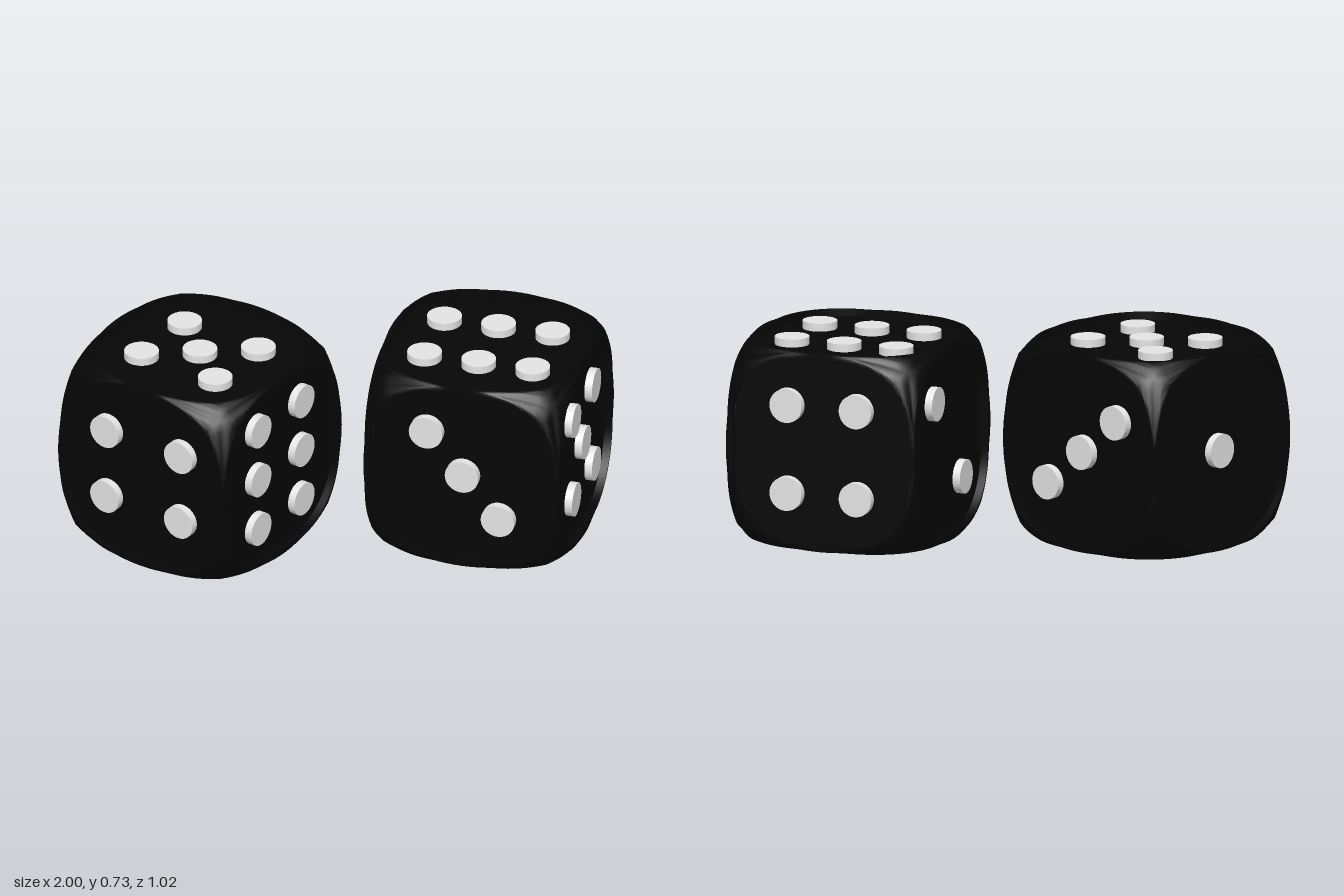
import * as THREE from 'three';
import { mergeGeometries, toCreasedNormals } from 'three/addons/utils/BufferGeometryUtils.js';

const HALF = 0.3625;    // half the die's width
const FLOOR = 0.334;    // distance of the sunken face panels from the centre
const CORNER = 0.3165;  // each coordinate of the pulled-in corners
const RIM = 0.345;      // half width of the rounded-square rim on each face
const RIM_RADIUS = 0.237;

const black = new THREE.MeshStandardMaterial({ color: 0x060606, side: THREE.DoubleSide });
black.name = 'black';
const white = new THREE.MeshStandardMaterial({ color: 0xe4e4e4, side: THREE.DoubleSide });
white.name = 'white';

// Turns a face that looks along +z to each of the six sides
const SIDES = {
  front: [0, 0],
  left: [0, Math.PI / 2],
  back: [0, Math.PI],
  right: [0, -Math.PI / 2],
  top: [-Math.PI / 2, 0],
  bottom: [Math.PI / 2, 0],
};

// Distance from the face centre to its rounded-square rim
function rimDistance(c, s) {
  const big = Math.max(Math.abs(c), Math.abs(s));
  const small = Math.min(Math.abs(c), Math.abs(s));
  const k = RIM - RIM_RADIUS;
  if (RIM * small < k * big) return RIM / big;
  return k * (big + small) + Math.sqrt(RIM_RADIUS ** 2 - (k * (big - small)) ** 2);
}

// One side of the die: sunken panel, its wall, the rim, and the curve out to the bowed edges
function sideGeometry() {
  const N = 96, STEPS = 8;
  const rings = [];
  for (let i = 0; i <= N; i++) {
    const angle = (i % N) / N * Math.PI * 2;
    const c = Math.cos(angle), s = Math.sin(angle);
    const rim = rimDistance(c, s), inner = rim - 0.006;
    const at = (r, z) => new THREE.Vector3(r * c, r * s, z);
    const line = [at(0, FLOOR), at(inner, FLOOR), at(inner, HALF), at(rim, HALF)];

    // Edge point: the edge bows inwards towards the corners
    const alongX = Math.abs(s) > Math.abs(c);
    const v = CORNER * (alongX ? c / Math.abs(s) : s / Math.abs(c));
    const drop = (HALF - CORNER) * (v / CORNER) ** 2;
    const e = HALF - drop;
    const ex = alongX ? v : Math.sign(c) * e;
    const ey = alongX ? Math.sign(s) * e : v;
    for (let k = 1; k <= STEPS; k++) {
      const t = k / STEPS;
      line.push(new THREE.Vector3(
        THREE.MathUtils.lerp(rim * c, ex, t),
        THREE.MathUtils.lerp(rim * s, ey, t),
        HALF - drop * (0.2 * t + 0.8 * t * t),
      ));
    }
    rings.push(line);
  }
  const points = [];
  const triangle = (...corners) => corners.forEach(p => points.push(p.x, p.y, p.z));
  for (let i = 0; i < N; i++) {
    const p = rings[i], q = rings[i + 1];
    triangle(p[0], p[1], q[1]);
    for (let k = 1; k < p.length - 1; k++) {
      triangle(p[k], p[k + 1], q[k + 1]);
      triangle(p[k], q[k + 1], q[k]);
    }
  }
  const geo = new THREE.BufferGeometry();
  geo.setAttribute('position', new THREE.Float32BufferAttribute(points, 3));
  return geo;
}

function bodyGeometry() {
  const side = sideGeometry();
  const parts = Object.values(SIDES).map(([rx, ry]) => side.clone().rotateX(rx).rotateY(ry));
  return toCreasedNormals(mergeGeometries(parts), 0.6);
}

// Pip positions on a face for the numbers one to six
function pipLayout(n) {
  const P = 0.161, Q = 0.133;
  const rising = [[P, Q], [-P, -Q]], falling = [[-P, Q], [P, -Q]];
  if (n === 6) return [-0.2, 0, 0.2].flatMap(u => [[u, Q], [u, -Q]]);
  return [
    ...(n % 2 ? [[0, 0]] : []),
    ...(n > 1 ? rising : []),
    ...(n > 3 ? falling : []),
  ];
}

// Pips stand on the sunken panels and end level with the rim
const pipGeometry = new THREE.CylinderGeometry(0.062, 0.062, HALF - FLOOR, 40)
  .rotateX(Math.PI / 2)
  .translate(0, 0, (HALF + FLOOR) / 2);

// numbers: side name -> [number, turned a quarter]
function makeDie(name, body, numbers) {
  const die = new THREE.Group();
  die.name = name;
  const shell = new THREE.Mesh(body, black);
  shell.name = 'dieBody';
  die.add(shell);
  for (const [side, [n, turned]] of Object.entries(numbers)) {
    const face = new THREE.Group();
    face.name = side + 'Pips';
    face.rotation.set(SIDES[side][0], SIDES[side][1], 0);
    for (const [u, v] of pipLayout(n)) {
      const pip = new THREE.Mesh(pipGeometry, white);
      pip.name = 'pip';
      pip.position.set(turned ? -v : u, turned ? u : v, 0);
      face.add(pip);
    }
    die.add(face);
  }
  return die;
}

export function createModel() {
  const model = new THREE.Group();
  model.name = 'pairOfDice';
  const body = bodyGeometry();

  const rightDie = makeDie('rightDie', body, {
    front: [4, false], left: [6, true], back: [3, false],
    right: [1, false], top: [5, false], bottom: [2, false],
  });
  rightDie.position.set(-0.492, HALF, 0);
  rightDie.rotation.y = THREE.MathUtils.degToRad(-39.2);

  const leftDie = makeDie('leftDie', body, {
    front: [3, true], left: [5, true], back: [4, true],
    right: [2, true], top: [6, false], bottom: [1, false],
  });
  leftDie.position.set(0.538, HALF, 0.016);
  leftDie.rotation.y = THREE.MathUtils.degToRad(-19.4);

  model.add(rightDie, leftDie);
  return model;
}
